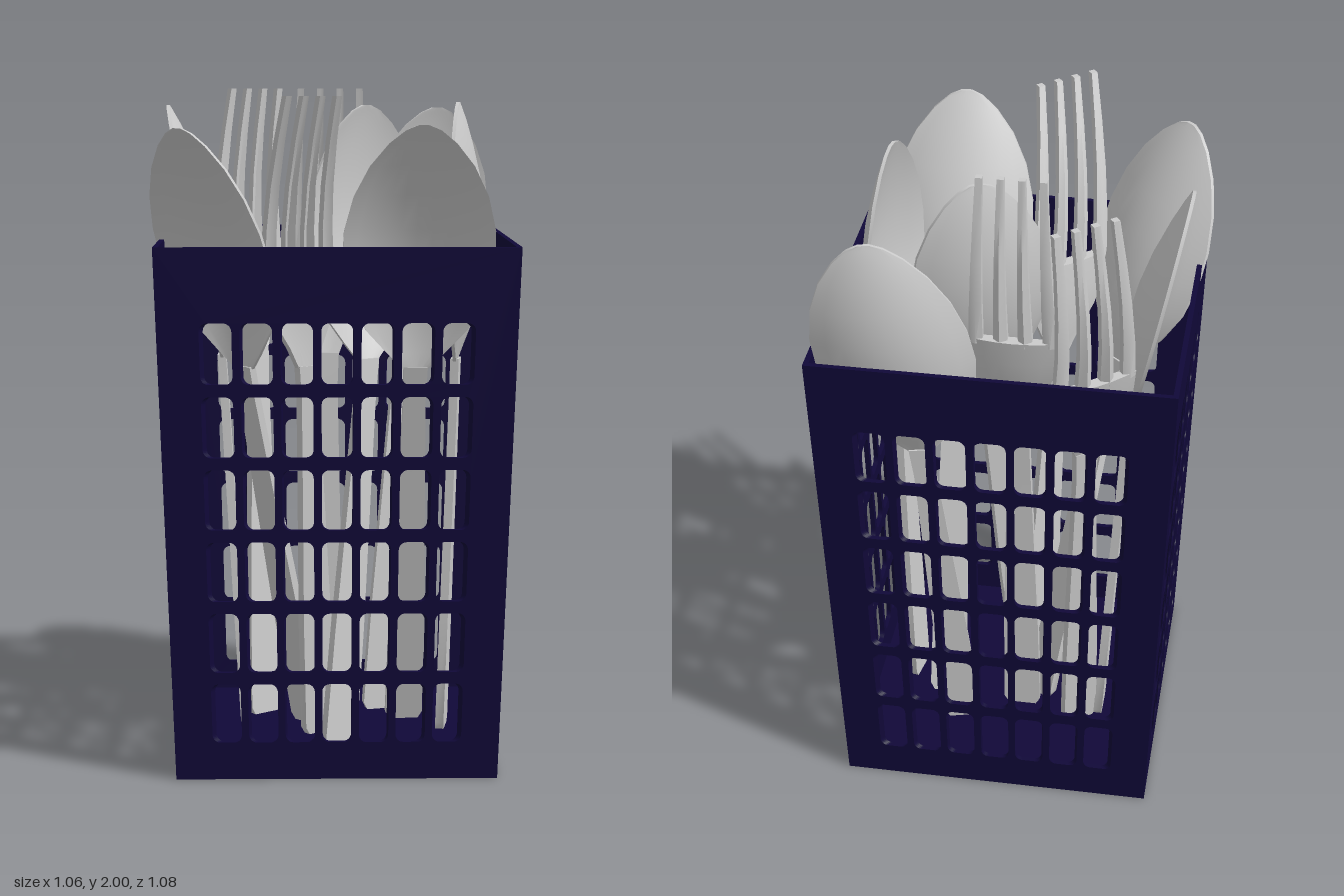
import * as THREE from 'three';
import { toCreasedNormals } from 'three/addons/utils/BufferGeometryUtils.js';

const navy = new THREE.MeshStandardMaterial({ color: 0x100838, side: THREE.DoubleSide });
const metal = new THREE.MeshStandardMaterial({ color: 0xcccccc });
const HEIGHT = 1.56, TOP = 0.52, BOTTOM = 0.47, THICK = 0.015;

function mesh(geometry, material, name) {
  const m = new THREE.Mesh(geometry, material);
  m.name = name;
  return m;
}

function roundedHole(cx, cy, w, h, r) {
  const p = new THREE.Path(), x = w / 2 - r, y = h / 2 - r;
  p.absarc(cx + x, cy + y, r, 0, Math.PI / 2);
  p.absarc(cx - x, cy + y, r, Math.PI / 2, Math.PI);
  p.absarc(cx - x, cy - y, r, Math.PI, Math.PI * 1.5);
  p.absarc(cx + x, cy - y, r, Math.PI * 1.5, Math.PI * 2);
  p.closePath();
  return p;
}

// Flat pierced panel, then tapered, leaned outward and mitred at the corners
function wallGeometry() {
  const shape = new THREE.Shape();
  shape.moveTo(-TOP, 0).lineTo(TOP, 0).lineTo(TOP, HEIGHT).lineTo(-TOP, HEIGHT).closePath();
  for (let row = 0; row < 6; row++) {
    for (let col = -3; col <= 3; col++) {
      shape.holes.push(roundedHole(col * 0.117, 0.2 + row * 0.2115, 0.094, 0.176, 0.024));
    }
  }
  const g = new THREE.ExtrudeGeometry(shape, { depth: THICK, bevelEnabled: false, curveSegments: 4 });
  const p = g.attributes.position;
  for (let i = 0; i < p.count; i++) {
    const y = p.getY(i);
    const half = BOTTOM + (TOP - BOTTOM) * y / HEIGHT - THICK + p.getZ(i);
    p.setXYZ(i, p.getX(i) / TOP * half, y, half);
  }
  g.computeVertexNormals();
  return g;
}

function basket() {
  const g = new THREE.Group();
  g.name = 'basket';
  const wall = wallGeometry();
  ['frontWall', 'leftWall', 'backWall', 'rightWall'].forEach((name, i) => {
    const m = mesh(wall, navy, name);
    m.rotation.y = i * Math.PI / 2;
    g.add(m);
  });
  const floor = mesh(new THREE.BoxGeometry(BOTTOM * 2 - 0.005, 0.02, BOTTOM * 2 - 0.005), navy, 'floor');
  floor.position.y = 0.01;
  g.add(floor);
  g.position.z = -0.015;
  return g;
}

// Sweeps a thin dished section along foot -> neck -> tip, the head bowed back.
// Row: [t (0 foot, 1 neck, 2 tip), half width, dish depth, sideways offset]
function sweep(item, rows, thickness, across) {
  const { foot, neck, tip, face, bow } = item;
  const side = new THREE.Vector3(0, 1, 0).cross(face);
  const pos = [], index = [], n = (across + 1) * 2;
  for (const [t, half, dish = 0, offset = 0] of rows) {
    const c = t < 1 ? foot.clone().lerp(neck, t) : neck.clone().lerp(tip, t - 1);
    if (t > 1) c.addScaledVector(face, -bow * Math.sin((t - 1) * Math.PI));
    for (let i = 0; i < n; i++) {
      const front = i <= across;
      const s = (front ? i : n - 1 - i) / across * 2 - 1;
      const depth = -dish * (1 - s * s) + (front ? 0.5 : -0.5) * thickness;
      const v = c.clone().addScaledVector(side, offset + s * half).addScaledVector(face, depth);
      pos.push(v.x, v.y, v.z);
    }
  }
  const last = (rows.length - 1) * n;
  for (let r = 0; r < last; r += n) {
    for (let i = 0; i < n; i++) {
      const j = (i + 1) % n;
      index.push(r + i, r + j, r + n + j, r + i, r + n + j, r + n + i);
    }
  }
  for (let i = 1; i < n - 1; i++) index.push(0, i + 1, i, last, last + i, last + i + 1);
  const g = new THREE.BufferGeometry();
  g.setAttribute('position', new THREE.Float32BufferAttribute(pos, 3));
  g.setIndex(index);
  return toCreasedNormals(g, 0.7);
}

const handleRows = [[0, 0.045], [0.02, 0.058], [0.3, 0.054], [0.7, 0.04], [0.92, 0.033], [1.01, 0.036]];
const bowlRows = [
  [1, 0.035, 0], [1.07, 0.085, 0.02], [1.17, 0.15, 0.05], [1.3, 0.2, 0.072], [1.44, 0.222, 0.08],
  [1.58, 0.218, 0.077], [1.72, 0.192, 0.062], [1.84, 0.148, 0.04], [1.93, 0.095, 0.02], [1.98, 0.05, 0.006], [2, 0.015, 0],
];
const forkBaseRows = [[1, 0.035], [1.08, 0.06, 0.008], [1.18, 0.105, 0.015], [1.28, 0.127, 0.018], [1.38, 0.13, 0.018]];

function spoon(item) {
  const g = new THREE.Group();
  g.name = 'spoon';
  g.add(mesh(sweep(item, handleRows, 0.026, 2), metal, 'spoonHandle'));
  g.add(mesh(sweep(item, bowlRows, 0.01, 10), metal, 'spoonBowl'));
  return g;
}

function fork(item) {
  const g = new THREE.Group();
  g.name = 'fork';
  g.add(mesh(sweep(item, handleRows, 0.026, 2), metal, 'forkHandle'));
  g.add(mesh(sweep(item, forkBaseRows, 0.02, 6), metal, 'forkBase'));
  // four tines drawing slightly together toward the tips
  for (const k of [-1.5, -0.5, 0.5, 1.5]) {
    const sink = 0.018 * (1 - (k / 2) ** 2);
    const rows = [0, 0.25, 0.5, 0.75, 1].map(
      (u) => [1.36 + 0.64 * u, 0.021 - 0.011 * u, sink * (1 - u), k * (0.072 - 0.012 * u)]);
    g.add(mesh(sweep(item, rows, 0.02, 2), metal, 'forkTine'));
  }
  return g;
}

// [foot x, z, neck x, z, tip x, y, z, facing x, z]
const spoons = [
  [-0.28, -0.1, -0.345, -0.1, -0.505, 1.95, -0.11, -1, 0],
  [-0.08, -0.06, -0.27, 0.2, -0.45, 1.89, 0.42, -0.68, 0.73],
  [0.22, -0.1, 0.235, 0.23, 0.24, 1.9, 0.51, 0.05, 1],
  [0.15, -0.21, 0.23, -0.36, 0.34, 1.94, -0.5, 0.25, 0.97],
  [0.335, -0.01, 0.37, 0.01, 0.37, 1.96, 0.03, -0.98, -0.17],
  [0.01, 0.19, 0.1, 0.02, 0.1, 1.95, -0.15, 0.57, 0.82],
];
const forks = [
  [-0.05, 0.05, -0.085, 0.2, -0.07, 1.98, 0.475, 0.62, 0.78],
  [-0.22, -0.17, -0.24, -0.3, -0.245, 2, -0.42, 0.6, 0.8],
  [-0.03, -0.12, -0.02, -0.14, -0.01, 2, -0.19, 0, 1],
];

function place([fx, fz, nx, nz, tx, ty, tz, dx, dz], bow) {
  return {
    foot: new THREE.Vector3(fx, 0.025, fz),
    neck: new THREE.Vector3(nx, 1.18, nz),
    tip: new THREE.Vector3(tx, ty, tz),
    face: new THREE.Vector3(dx, 0, dz).normalize(),
    bow,
  };
}

export function createModel() {
  const model = new THREE.Group();
  model.name = 'cutleryBasket';
  model.add(basket());
  for (const s of spoons) model.add(spoon(place(s, 0)));
  for (const f of forks) model.add(fork(place(f, 0.055)));
  return model;
}
